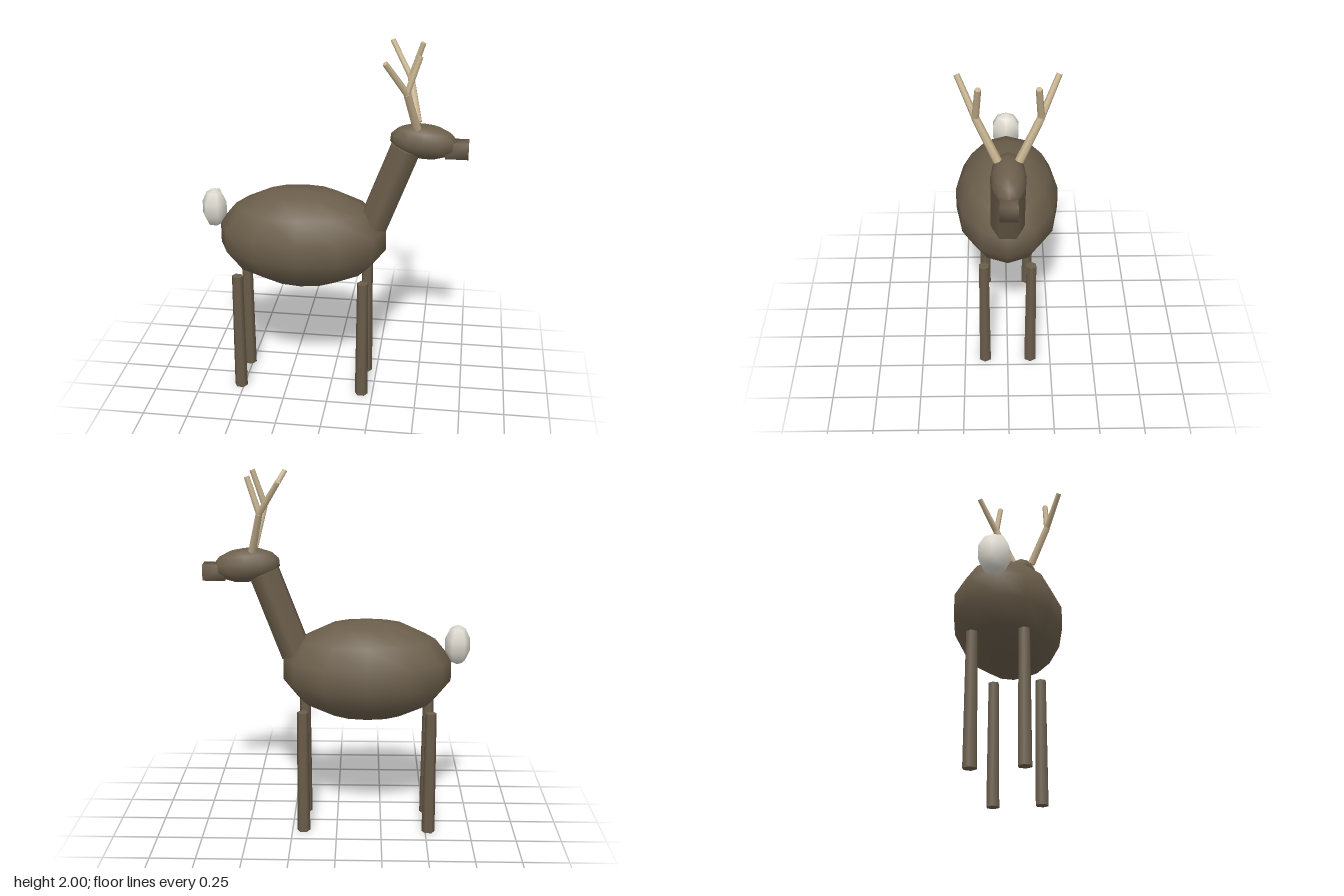
import * as THREE from 'three';
import { mergeVertices } from 'three/addons/utils/BufferGeometryUtils.js';

export function createModel() {
  const group = new THREE.Group();
  const material = (name, color) => {
    const m = new THREE.MeshStandardMaterial({ color });
    m.name = name;
    return m;
  };
  const fur = material('brown fur', 0x6b5e4b);
  const horn = material('tan horn', 0xc9b591);
  const white = material('white tail fur', 0xdedad0);

  const add = (name, geometry, mat, x = 0, y = 0, z = 0) => {
    const mesh = new THREE.Mesh(geometry, mat);
    mesh.name = name;
    mesh.position.set(x, y, z);
    group.add(mesh);
    return mesh;
  };
  const ellipsoid = (rx, ry, rz, around, rows) =>
    new THREE.SphereGeometry(1, around, rows).scale(rx, ry, rz);

  // Six-sided tapered rod between two points
  const rod = (name, mat, a, b, rStart, rEnd) => {
    const from = new THREE.Vector3(...a);
    const dir = new THREE.Vector3(...b).sub(from);
    const length = dir.length();
    const mesh = add(name, new THREE.CylinderGeometry(rEnd, rStart, length, 6), mat);
    mesh.position.copy(from).addScaledVector(dir, 0.5);
    mesh.quaternion.setFromUnitVectors(new THREE.Vector3(0, 1, 0), dir.normalize());
    return mesh;
  };

  // Trunk, neck and head
  add('body', ellipsoid(0.477, 0.283, 0.296, 12, 7), fur, -0.165, 0.918, 0);
  rod('neck', fur, [0.227, 1.013, 0], [0.396, 1.463, 0], 0.091, 0.09);
  add('head', ellipsoid(0.183, 0.094, 0.091, 12, 7), fur, 0.49, 1.502, 0).rotation.z = -0.1;

  // Snout: a box with softened shading
  let snout = new THREE.BoxGeometry(0.122, 0.086, 0.09);
  snout.deleteAttribute('normal');
  snout.deleteAttribute('uv');
  snout = mergeVertices(snout);
  snout.computeVertexNormals();
  add('snout', snout, fur, 0.666, 1.466, 0);

  // Tail
  add('tail', ellipsoid(0.072, 0.113, 0.093, 6, 5), white, -0.661, 1.062, 0);

  for (const side of [1, -1]) {
    const label = side > 0 ? 'left' : 'right';

    // Legs
    for (const [name, x] of [['FrontLeg', 0.187], ['BackLeg', -0.517]]) {
      const leg = new THREE.CylinderGeometry(0.031, 0.037, 0.706, 6).rotateY(Math.PI / 2);
      add(label + name, leg, fur, x, 0.353, side * 0.132);
    }

    // Forked antlers
    const fork = [0.402, 1.805, side * 0.158];
    rod(label + 'AntlerStem', horn, [0.453, 1.588, side * 0.053], fork, 0.023, 0.02);
    rod(label + 'AntlerOuterTine', horn, fork, [0.295, 1.981, side * 0.246], 0.018, 0.015);
    rod(label + 'AntlerInnerTine', horn, fork, [0.464, 1.995, side * 0.142], 0.018, 0.016);
  }
  return group;
}
